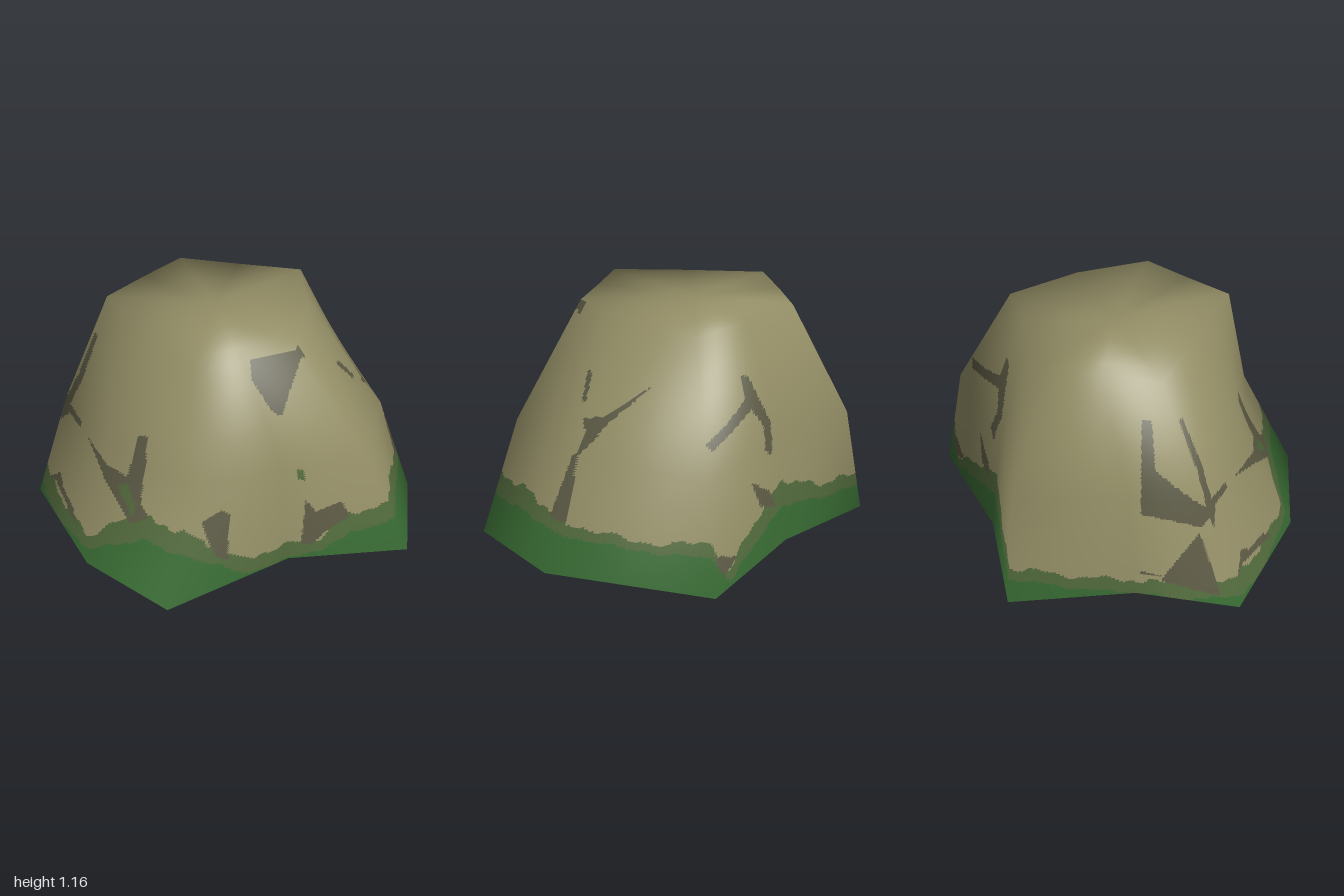
import * as THREE from 'three';

// Outline rings [x, z], ten corners each, starting at the back and going round by +x
const BASE = [[.12, -.99], [.81, -.48], [1, 0], [.48, .37], [.12, .98], [-.42, .92], [-1, .59], [-.91, .08], [-.97, -.55], [-.43, -.68]];
const WAIST = [[.13, -.87], [.62, -.4], [.76, .08], [.43, .36], [.12, .68], [-.42, .64], [-.88, .4], [-.84, .04], [-.86, -.5], [-.4, -.6]];
const RIM = [[.04, -.55], [.25, -.22], [.37, .15], [.2, .35], [.04, .55], [-.33, .38], [-.7, .19], [-.65, -.08], [-.59, -.34], [-.28, -.44]];
const CENTRE = RIM.map(() => [-.18, -.02]);
const LEVELS = [[BASE, 0], [WAIST, .58], [RIM, 1.155], [CENTRE, 1.155]];
const N = 10;

// Growth round the foot: [corner number, grass height, moss height]
const GROWTH = [
  [0, .2, .27], [.5, .18, .22], [1, .2, .27], [1.5, .21, .31], [2, .2, .3], [2.4, .15, .27], [2.7, .05, .13],
  [3, 0, .1], [3.4, .02, .11], [3.6, .14, .22], [4, .26, .37], [4.4, .25, .35], [4.7, .17, .3], [5, .07, .13],
  [5.5, 0, .1], [5.9, .02, .13], [6, .07, .17], [6.5, 0, .1], [7, 0, .08], [7.5, .06, .13], [8, .14, .21],
  [8.5, .15, .23], [9, .2, .34], [9.5, .1, .2], [9.8, .02, .08], [10, .2, .27]];

// Cracks as outlines projected onto one side: [x or z, y]
const FRONT_CRACKS = [
  [[-.62, .52], [-.28, .49], [-.26, .7], [-.2, .72], [-.17, .4], [-.1, .36], [-.2, .29], [-.28, .34], [-.42, .44]],
  [[-.74, .97], [-.71, .96], [-.77, .72], [-.83, .57], [-.7, .55], [-.7, .52], [-.82, .53], [-.9, .45], [-.89, .55], [-.81, .73]],
  [[.22, 1.155], [.24, 1.06], [.34, .89], [.38, .86], [.4, 1.155]],
  [[.17, .4], [.23, .44], [.26, .4], [.28, .15], [.24, .19], [.2, .3]],
  [[.53, .38], [.58, .3], [.68, .35], [.72, .25], [.62, .16], [.58, .08], [.53, .1]],
  [[-.93, .12], [-.82, .21], [-.76, .16], [-.64, .14], [-.58, .08], [-.7, .11], [-.85, .15]]];
const RIGHT_CRACKS = [
  [[-.49, .92], [-.44, .76], [-.42, .58], [-.48, .26], [-.39, .26], [-.405, .6], [-.38, .69], [-.33, .73], [-.4, .76]],
  [[-.17, .91], [-.21, .9], [-.28, .79], [-.25, .79]]];
const BACK_CRACKS = [
  [[.09, .72], [-.07, .76], [-.2, .82], [-.19, .93], [-.24, .91], [-.35, .66], [-.34, .5], [-.29, .55], [-.3, .66], [-.23, .76], [-.07, .71], [.06, .68]],
  [[-.18, .43], [-.24, .28], [-.36, .22], [-.31, .33]],
  [[.1, .2], [-.05, .12], [.1, .05]]];
const LEFT_CRACKS = [[[.5, .05], [.2, .1], [.3, .28], [.38, .42], [.45, .2]]];
const MOSS_SPOTS = [[[.48, .58], [.51, .57], [.52, .5], [.49, .52]], [[-.33, .43], [-.27, .46], [-.19, .37], [-.2, .32]]];

function inside(poly, a, b) {
  let hit = false;
  for (let i = 0, j = poly.length - 1; i < poly.length; j = i++) {
    const [ax, ay] = poly[i], [bx, by] = poly[j];
    if ((ay > b) !== (by > b) && a < (bx - ax) * (b - ay) / (by - ay) + ax) hit = !hit;
  }
  return hit;
}
const any = (list, a, b) => list.some(p => inside(p, a, b));

// Which colour a point of the rock has
function kindAt(p, u) {
  const k = GROWTH.findIndex(g => g[0] > u);
  const a = GROWTH[k - 1], b = GROWTH[k], t = (u - a[0]) / (b[0] - a[0]);
  const wob = .012 * Math.sin(u * 13.2) + .008 * Math.sin(u * 31.4 + 1);
  const mix = i => a[i] + (b[i] - a[i]) * t + wob * (i === 2 ? 1 : .5);
  if (p.y < mix(1)) return 'grass';
  if (p.z > .1 && any(MOSS_SPOTS, p.x, p.y)) return 'moss';
  const crack = (p.z > .1 && any(FRONT_CRACKS, p.x, p.y)) || (p.x > .2 && any(RIGHT_CRACKS, p.z, p.y)) ||
    (p.z < -.3 && any(BACK_CRACKS, p.x, p.y)) || (p.x < -.5 && any(LEFT_CRACKS, p.z, p.y));
  if (crack && p.y < 1.154) return 'crack';
  return p.y < mix(2) ? 'moss' : 'stone';
}

// Faces of a grid that closes on itself sideways
function gridIndex(cols, rows, each) {
  for (let j = 0; j < rows; j++) for (let i = 0; i < cols; i++) {
    const a = j * cols + i, b = j * cols + (i + 1) % cols;
    each([a, a + cols, b], i + .33, j);
    each([b, a + cols, b + cols], i + .67, j);
  }
}

export function createModel() {
  const group = new THREE.Group();
  group.name = 'mossyRock';
  const mats = {};
  for (const [name, color] of [['stone', 0x928d65], ['crack', 0x5a5843], ['moss', 0x50683b], ['grass', 0x376932]]) {
    mats[name] = new THREE.MeshStandardMaterial({ color });
    mats[name].name = name;
  }

  // Coarse rock, for its smooth normals
  const coarse = new THREE.BufferGeometry();
  const pts = LEVELS.flatMap(([ring, y]) => ring.map(([x, z]) => new THREE.Vector3(x, y, z)));
  coarse.setFromPoints(pts);
  const coarseIndex = [];
  gridIndex(N, 3, f => coarseIndex.push(...f));
  coarse.setIndex(coarseIndex);
  coarse.computeVertexNormals();
  const normals = pts.map((_, i) => new THREE.Vector3().fromBufferAttribute(coarse.attributes.normal, i));

  // Fine rock, so that the colour borders can be followed
  const COLS = 320, STEPS = [50, 40, 5];
  const heights = [0];
  STEPS.forEach((n, l) => { for (let s = 1; s <= n; s++) heights.push(l + s / n); });
  const sample = (src, level, u) => {
    const l = Math.min(Math.floor(level), 2), c = Math.floor(u) % N, d = (c + 1) % N, s = u - Math.floor(u);
    const low = src[l * N + c].clone().lerp(src[l * N + d], s);
    return low.lerp(src[(l + 1) * N + c].clone().lerp(src[(l + 1) * N + d], s), level - l);
  };
  const P = [], Q = [];
  for (const h of heights) for (let i = 0; i < COLS; i++) {
    const u = i * N / COLS;
    P.push(sample(pts, h, u));
    Q.push(sample(normals, h, u).normalize());
  }
  const position = new THREE.Float32BufferAttribute(P.flatMap(v => v.toArray()), 3);
  const normal = new THREE.Float32BufferAttribute(Q.flatMap(v => v.toArray()), 3);
  const faces = { stone: [], crack: [], moss: [], grass: [] };
  const mid = new THREE.Vector3();
  gridIndex(COLS, heights.length - 1, (f, i) => {
    mid.set(0, 0, 0);
    f.forEach(k => mid.addScaledVector(P[k], 1 / 3));
    faces[kindAt(mid, i * N / COLS)].push(...f);
  });
  for (const kind in faces) {
    const geo = new THREE.BufferGeometry();
    geo.setAttribute('position', position);
    geo.setAttribute('normal', normal);
    geo.setIndex(faces[kind]);
    const mesh = new THREE.Mesh(geo, mats[kind]);
    mesh.name = kind + 'Surface';
    group.add(mesh);
  }

  // Underside: grass, a ring of moss, bare stone in the middle, cracks across it
  const outline = list => list.map(([x, z]) => new THREE.Vector2(x, z));
  const blob = (r, phase) => Array.from({ length: 40 }, (_, i) => {
    const a = i * Math.PI / 20, k = r * (1 + .07 * Math.sin(3 * a + phase) + .04 * Math.sin(7 * a));
    return new THREE.Vector2(-.13 + k * Math.cos(a), .03 + k * Math.sin(a));
  });
  const under = (name, kind, points, hole, y = 0) => {
    const shape = new THREE.Shape(points);
    if (hole) shape.holes.push(new THREE.Path(hole));
    const mesh = new THREE.Mesh(new THREE.ShapeGeometry(shape).rotateX(Math.PI / 2), mats[kind]);
    mesh.name = name;
    mesh.position.y = y;
    group.add(mesh);
  };
  const outer = blob(.54, 0), inner = blob(.36, 1);
  under('undersideGrass', 'grass', outline(BASE), outer);
  under('undersideMoss', 'moss', outer, inner);
  under('undersideStone', 'stone', inner);
  under('undersideCrackLong', 'crack', outline([[-.42, -.08], [-.38, -.14], [-.1, .02], [.12, .2], [.06, .25], [-.14, .08]]), null, -.002);
  under('undersideCrackShort', 'crack', outline([[.02, -.15], [.06, -.12], [-.02, .02], [-.07, .0]]), null, -.002);
  return group;
}
